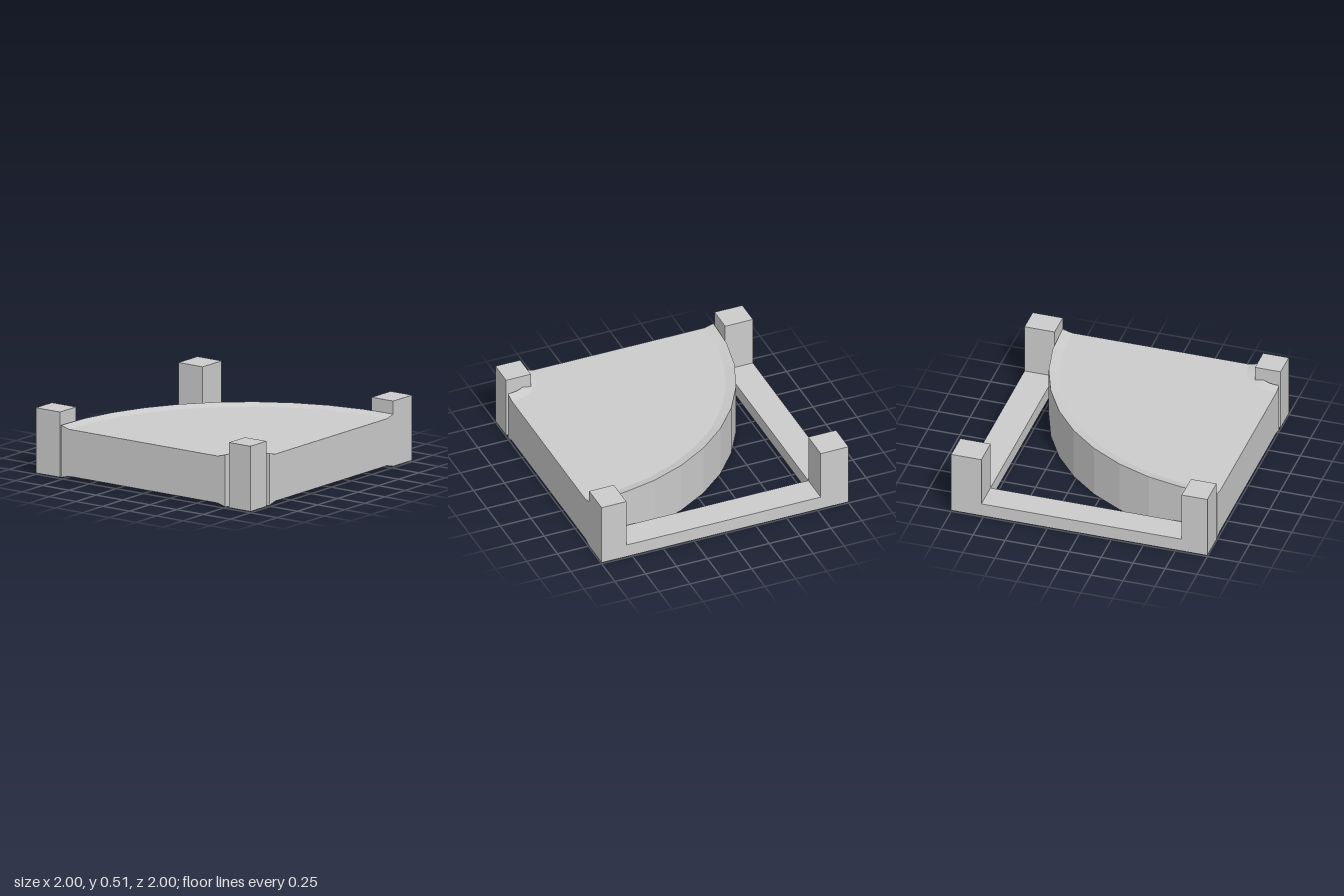
import * as THREE from 'three';

const material = new THREE.MeshStandardMaterial({ color: 0xcccccc, flatShading: true, side: THREE.DoubleSide });

function box(group, name, x0, x1, y0, y1, z0, z1) {
  const mesh = new THREE.Mesh(new THREE.BoxGeometry(x1 - x0, y1 - y0, z1 - z0), material);
  mesh.name = name;
  mesh.position.set((x0 + x1) / 2, (y0 + y1) / 2, (z0 + z1) / 2);
  group.add(mesh);
}

// Quarter disc with a hub hole and raised rims around a shallow dish, above and below
function quarterDisc() {
  const disc = new THREE.Group();
  disc.name = 'quarterDisc';
  const outer = 1.765;
  const profile = [
    [0.235, 0.01], [0.305, 0.03], [1.69, 0.03], [outer, 0.01],
    [outer, 0.41], [1.69, 0.39], [0.305, 0.39], [0.235, 0.41],
  ].map(([r, y]) => new THREE.Vector2(r, y));

  const body = new THREE.LatheGeometry([...profile, profile[0].clone()], 10, Math.PI / 2, Math.PI / 2);
  const pos = body.attributes.position;
  for (let i = 0; i < pos.count; i++) {
    const x = pos.getX(i), y = pos.getY(i), z = pos.getZ(i);
    // The arc swells a little, and the lower rim dips, towards the diagonal
    const swell = Math.sin(2 * Math.atan2(-z, x));
    const s = 1 + 0.021 * swell;
    pos.setXYZ(i, x * s, y < 0.02 ? y - 0.01 * swell : y, z * s);
  }
  body.computeVertexNormals();
  const bodyMesh = new THREE.Mesh(body, material);
  bodyMesh.name = 'discBody';
  disc.add(bodyMesh);

  // Flat cut faces
  const capGeometry = new THREE.ShapeGeometry(new THREE.Shape(profile));
  [['frontCut', 0], ['sideCut', Math.PI / 2]].forEach(([name, turn]) => {
    const cap = new THREE.Mesh(capGeometry, material);
    cap.name = name;
    cap.rotation.y = turn;
    disc.add(cap);
  });
  disc.position.set(-1, 0, 1);
  return disc;
}

export function createModel() {
  const model = new THREE.Group();
  model.name = 'quarterDiscOnFrame';
  model.add(quarterDisc());

  const low = 0.01, barTop = 0.115, postTop = 0.51;
  const right = [-1, -0.8], left = [0.765, 1];
  const back = [-1, -0.775], front = [0.8, 1];

  // Corner posts
  box(model, 'frontRightPost', ...right, low, postTop, ...front);
  box(model, 'frontLeftPost', ...left, low, postTop, ...front);
  box(model, 'backRightPost', ...right, low, postTop, ...back);
  box(model, 'backLeftPost', ...left, low, postTop, ...back);

  // Low rails joining the posts
  box(model, 'backRail', right[1], left[0], low, barTop, ...back);
  box(model, 'leftRail', ...left, low, barTop, back[1], front[0]);
  return model;
}
